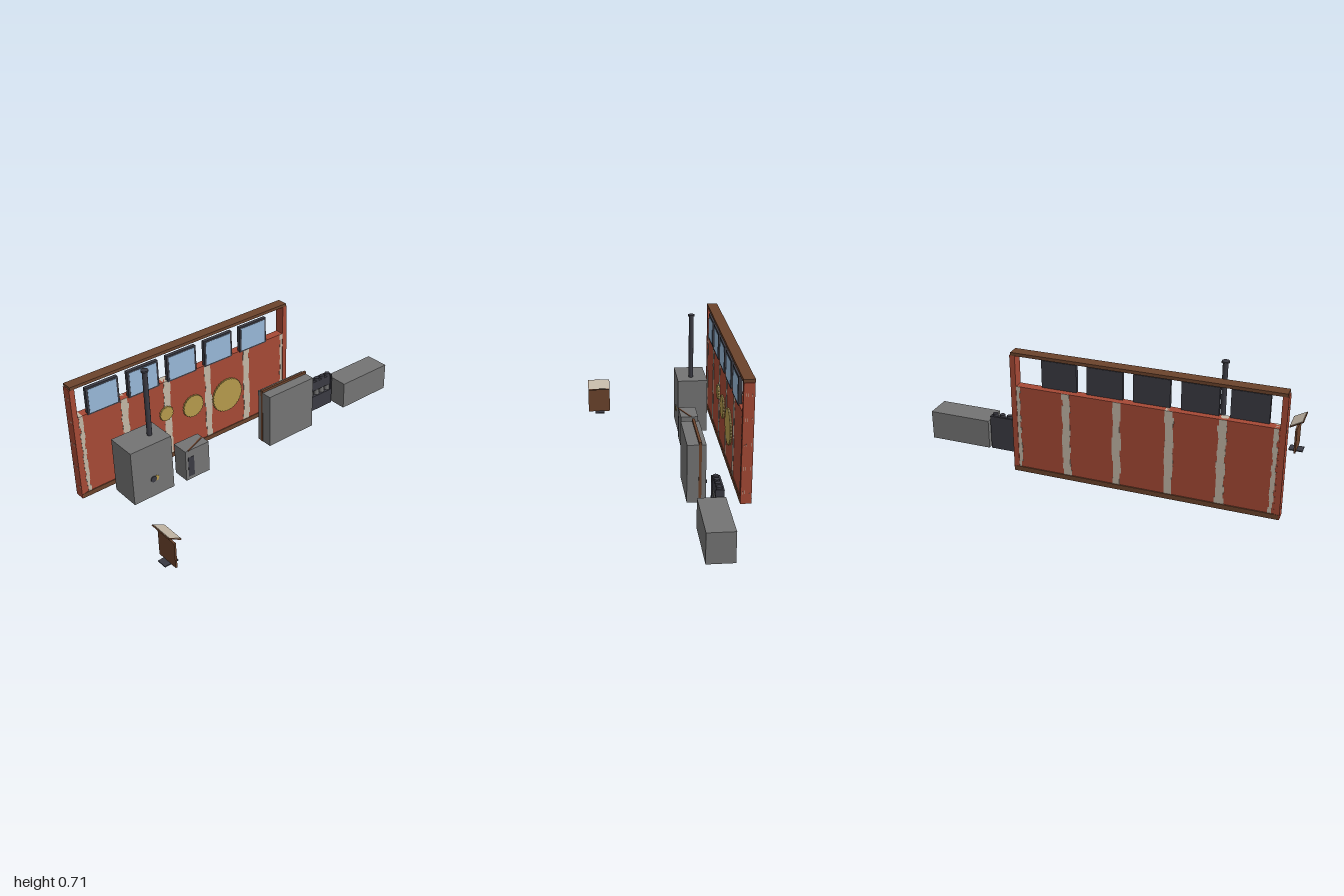
import * as THREE from 'three';

const mat = (name, color) => {
  const m = new THREE.MeshStandardMaterial({ color });
  m.name = name;
  return m;
};

export function createModel() {
  const red = mat('brick red', 0xa64935);
  const cream = mat('stone cream', 0xc2b6a5);
  const brown = mat('dark wood', 0x6b432c);
  const grey = mat('cabinet grey', 0x747474);
  const dark = mat('dark metal', 0x3a3a42);
  const glass = mat('pane blue', 0x98b8d8);
  const gold = mat('brass', 0xb59a4c);

  const model = new THREE.Group();
  const group = (name) => {
    const g = new THREE.Group();
    g.name = name;
    model.add(g);
    return g;
  };
  const add = (parent, name, geo, material, x = 0, y = 0, z = 0) => {
    const m = new THREE.Mesh(geo, material);
    m.name = name;
    m.position.set(x, y, z);
    parent.add(m);
    return m;
  };
  // Box given by its limits on each axis
  const box = (parent, name, material, x0, x1, y0, y1, z0, z1) =>
    add(parent, name, new THREE.BoxGeometry(x1 - x0, y1 - y0, z1 - z0), material,
      (x0 + x1) / 2, (y0 + y1) / 2, (z0 + z1) / 2);

  // Wall: panel, sill, top beam and end posts
  const wall = group('wall');
  box(wall, 'wallPanel', red, -0.97, 0.39, 0.027, 0.49, -0.402, -0.352);
  box(wall, 'wallSill', brown, -0.995, 0.41, 0, 0.027, -0.408, -0.347);
  box(wall, 'topBeam', brown, -0.995, 0.408, 0.66, 0.677, -0.408, -0.347);
  for (const [x0, side] of [[-1, -1], [0.386, 1]]) {
    box(wall, 'endPost', red, x0, x0 + 0.029, 0, 0.66, -0.406, -0.348);
    const face = side < 0 ? x0 : x0 + 0.029;
    // Small pale mortar marks on the outer face of the post
    for (let i = 0; i < 5; i++) {
      const y = 0.065 + i * 0.133;
      for (const z of [-0.36, -0.37, -0.394])
        box(wall, 'mortarMark', cream, face - 0.0005, face + 0.0005, y - 0.01, y + 0.01, z - 0.001, z + 0.001);
    }
  }

  // Pale stone strips with ragged edges between the wall bays
  let seed = 7;
  const rand = () => (seed = (seed * 16807) % 2147483647) / 2147483647;
  const strips = [[-0.953, 0.02], [-0.695, 0.042], [-0.43, 0.042], [-0.157, 0.042], [0.113, 0.042], [0.378, 0.018]];
  for (const [x, w] of strips) {
    const rows = 14, h = 0.463 / rows;
    for (let i = 0; i < rows; i++) {
      const l = w / 2 + (rand() - 0.5) * 0.01, r = w / 2 + (rand() - 0.5) * 0.01;
      box(wall, 'stoneStrip', cream, x - l, x + r, 0.027 + i * h, 0.027 + (i + 1) * h, -0.4035, -0.3505);
    }
  }

  // Row of five framed panes above the wall
  const panes = group('panes');
  for (let i = 0; i < 5; i++) {
    const x = -0.817 + i * 0.245;
    box(panes, 'paneFrame', dark, x - 0.095, x + 0.095, 0.483, 0.639, -0.368, -0.347);
    box(panes, 'paneGlass', glass, x - 0.083, x + 0.083, 0.492, 0.629, -0.35, -0.3455);
  }

  // Toothed brass discs on the wall
  const discs = group('brassDiscs');
  for (const [x, y, r] of [[-0.445, 0.297, 0.044], [-0.267, 0.272, 0.068], [-0.03, 0.248, 0.103]]) {
    const teeth = Math.round(r * 320);
    const pts = [];
    for (let i = 0; i < teeth * 4; i++) {
      const a = (i / (teeth * 4)) * Math.PI * 2;
      const rr = i % 4 < 2 ? r : r - 0.004;
      pts.push(new THREE.Vector2(rr * Math.cos(a), rr * Math.sin(a)));
    }
    const geo = new THREE.ExtrudeGeometry(new THREE.Shape(pts), { depth: 0.01, bevelEnabled: false });
    add(discs, 'toothedDisc', geo, gold, x, y, -0.351);
  }

  // Stove with chimney pipe and door knob
  const stove = group('stove');
  box(stove, 'stoveBody', grey, -0.824, -0.573, 0, 0.322, -0.299, -0.124);
  add(stove, 'pipe', new THREE.CylinderGeometry(0.014, 0.014, 0.376, 12), dark, -0.649, 0.509, -0.208);
  add(stove, 'pipeCore', new THREE.CylinderGeometry(0.007, 0.007, 0.02, 8), dark, -0.649, 0.697, -0.208);
  add(stove, 'pipeCap', new THREE.CylinderGeometry(0.02, 0.02, 0.009, 12), dark, -0.649, 0.7045, -0.208);
  const disc = (name, material, r, x, z) =>
    add(stove, name, new THREE.CylinderGeometry(r, r, 0.006, 16), material, x, 0.108, z).rotateX(Math.PI / 2);
  disc('brassPlate', gold, 0.016, -0.681, -0.124);
  disc('knob', dark, 0.018, -0.698, -0.122);

  // Small cabinet with slot and diagonal strip on top
  const small = group('smallCabinet');
  box(small, 'smallBody', grey, -0.495, -0.34, 0, 0.186, -0.218, -0.118);
  box(small, 'slot', dark, -0.479, -0.441, 0.02, 0.142, -0.12, -0.1165);
  const strip = add(small, 'diagonalStrip', new THREE.BoxGeometry(0.145, 0.004, 0.008), brown, -0.41, 0.187, -0.147);
  strip.rotation.y = 0.41;
  for (const x of [-0.405, -0.37]) box(small, 'hinge', dark, x - 0.006, x + 0.006, 0.14, 0.15, -0.224, -0.217);

  // Large cabinet: two grey halves around a wooden board
  const large = group('largeCabinet');
  box(large, 'frontHalf', grey, 0.055, 0.377, 0, 0.322, -0.136, -0.075);
  box(large, 'backHalf', grey, 0.055, 0.377, 0, 0.322, -0.174, -0.15);
  box(large, 'centreBoard', brown, 0.053, 0.379, 0, 0.336, -0.15, -0.136);
  for (const x of [0.09, 0.35]) box(large, 'hinge', dark, x - 0.007, x + 0.007, 0.1, 0.114, -0.181, -0.173);

  // Bottle rack with two rows of round tops
  const rack = group('rack');
  box(rack, 'rackBase', dark, 0.467, 0.638, 0, 0.095, -0.231, -0.187);
  box(rack, 'rackBack', dark, 0.467, 0.638, 0.095, 0.195, -0.231, -0.222);
  box(rack, 'rackShelf', dark, 0.467, 0.638, 0.13, 0.188, -0.222, -0.194);
  for (const x of [0.467, 0.629]) box(rack, 'rackSide', dark, x, x + 0.009, 0.095, 0.195, -0.231, -0.187);
  for (let i = 0; i < 4; i++)
    for (const y of [0.112, 0.197])
      add(rack, 'rackJar', new THREE.CylinderGeometry(0.015, 0.015, y > 0.15 ? 0.018 : 0.034, 8),
        y > 0.15 ? dark : grey, 0.49 + i * 0.042, y, -0.207);

  // Long low chest
  box(group('chest'), 'chestBody', grey, 0.65, 1, 0, 0.163, -0.236, -0.094);

  // Lectern with tilted reading board
  const lectern = group('lectern');
  box(lectern, 'lecternFoot', dark, -0.983, -0.905, 0, 0.006, 0.31, 0.368);
  box(lectern, 'lecternPost', brown, -0.949, -0.939, 0.004, 0.153, 0.274, 0.408);
  const board = new THREE.Group();
  board.name = 'readingBoard';
  board.position.set(-0.943, 0.18, 0.341);
  board.rotation.z = -0.52;
  lectern.add(board);
  box(board, 'boardBack', brown, -0.041, 0.041, -0.003, 0.003, -0.067, 0.067);
  box(board, 'boardPage', cream, -0.038, 0.036, 0.002, 0.005, -0.064, 0.064);

  return model;
}
